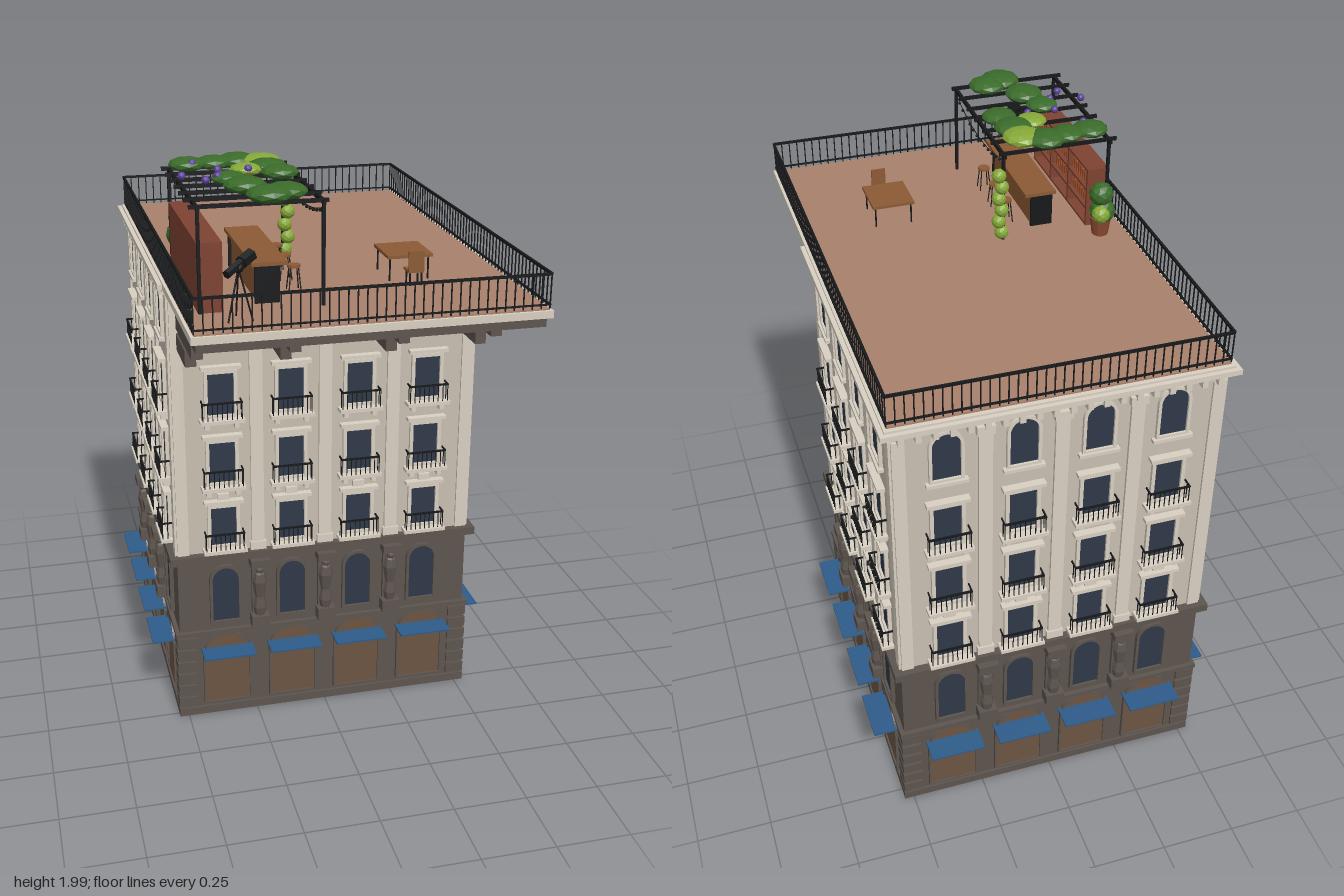
import * as THREE from 'three';
import { mergeGeometries } from 'three/addons/utils/BufferGeometryUtils.js';

const mat = (color) => new THREE.MeshStandardMaterial({ color, flatShading: true, side: THREE.DoubleSide });
const M = {
  wall: mat(0xc8beb0), trim: mat(0xd8cfc0), stone: mat(0x5d544e), door: mat(0x6b5442), glass: mat(0x2f3848),
  iron: mat(0x17181a), awning: mat(0x2e5c8a), floor: mat(0xa8806c), wood: mat(0x8b5a34), brick: mat(0x7d4231),
  leaf: mat(0x3a6b2a), lime: mat(0x86a838), flower: mat(0x5b3f9a), book: mat(0xa8552f), pot: mat(0x8a4a30),
};

// Box given by its limits
function box(x0, x1, y0, y1, z0, z1) {
  return new THREE.BoxGeometry(x1 - x0, y1 - y0, z1 - z0).translate((x0 + x1) / 2, (y0 + y1) / 2, (z0 + z1) / 2);
}
// Thin rod between two points
function rod(a, b, r = 0.003) {
  const A = new THREE.Vector3(...a), B = new THREE.Vector3(...b), d = B.clone().sub(A);
  const g = new THREE.CylinderGeometry(r, r, d.length(), 6);
  g.applyQuaternion(new THREE.Quaternion().setFromUnitVectors(new THREE.Vector3(0, 1, 0), d.normalize()));
  return g.translate(...A.add(B).multiplyScalar(0.5).toArray());
}
function blob(x, y, z, r, sy = 1, detail = 1) {
  return new THREE.IcosahedronGeometry(r, detail).scale(1, sy, 1).translate(x, y, z);
}
// Merge pieces of one part into a named mesh
function add(group, name, material, geos) {
  const m = new THREE.Mesh(mergeGeometries(geos.map((g) => (g.index ? g.toNonIndexed() : g))), material);
  m.name = name;
  group.add(m);
}

// Opening outline: rectangle with an optional arched head of the given rise
function outline(S, x, y0, y1, w, rise) {
  const s = new S();
  s.moveTo(x - w / 2, y0);
  s.lineTo(x + w / 2, y0);
  s.lineTo(x + w / 2, y1 - rise);
  if (rise) s.absellipse(x, y1 - rise, w / 2, rise, 0, Math.PI, false, 0);
  else s.lineTo(x - w / 2, y1);
  s.closePath();
  return s;
}
function panel(x, y0, y1, w, rise, z, depth, border = 0) {
  const s = outline(THREE.Shape, x, y0 - border, y1 + border, w + 2 * border, rise ? rise + border : 0);
  if (border) s.holes.push(outline(THREE.Path, x, y0, y1, w, rise));
  return new THREE.ExtrudeGeometry(s, { depth, bevelEnabled: false, curveSegments: 10 }).translate(0, 0, z);
}

const H = 0.52, CZ = -0.26;
const BAYS = [-0.357, -0.119, 0.119, 0.357];

// One facade facing +z, used on all four sides
function facade() {
  const g = new THREE.Group();
  g.name = 'facade';
  const glass = [], trim = [], doors = [], dark = [], awnings = [], iron = [];
  for (const x of BAYS) {
    // Shop door with awning
    doors.push(panel(x, 0.05, 0.32, 0.16, 0.08, H + 0.005, 0.006));
    dark.push(panel(x, 0.05, 0.32, 0.16, 0.08, H + 0.005, 0.012, 0.006));
    awnings.push(box(x - 0.092, x + 0.092, 0.263, 0.269, H, 0.61));
    // Mezzanine window
    glass.push(panel(x, 0.375, 0.58, 0.092, 0.046, H + 0.002, 0.006));
    dark.push(panel(x, 0.375, 0.58, 0.092, 0.046, H + 0.002, 0.014, 0.01));
    // Three balcony floors
    [[0.67, 0.81], [0.905, 1.05], [1.15, 1.295]].forEach(([a, b], i) => {
      glass.push(panel(x, a, b, 0.088, 0, H, 0.004));
      trim.push(panel(x, a, b, 0.088, 0, H, 0.012, 0.012));
      trim.push(box(x - 0.068, x + 0.068, b + 0.018, b + 0.03, H, H + 0.026));
      trim.push(box(x - 0.075, x + 0.075, a - 0.022, a - 0.01, H, 0.562));
      for (const s of [-1, 1]) trim.push(box(x + s * 0.05 - 0.008, x + s * 0.05 + 0.008, a - 0.045, a - 0.022, H, H + 0.025));
      if (i === 1) trim.push(box(x - 0.02, x + 0.02, 0.84, 0.862, H, H + 0.012));
      const y0 = a - 0.01, y1 = a + 0.05, zr = 0.555;
      iron.push(box(x - 0.068, x + 0.068, y1 - 0.003, y1 + 0.003, zr - 0.003, zr + 0.003));
      for (let k = 0; k <= 8; k++) {
        const px = x - 0.066 + k * 0.0165;
        iron.push(box(px - 0.0013, px + 0.0013, y0, y1, zr - 0.0013, zr + 0.0013));
      }
      for (const s of [-1, 1]) {
        const sx = x + s * 0.066;
        iron.push(box(sx - 0.002, sx + 0.002, y1 - 0.003, y1 + 0.003, H, zr));
        iron.push(box(sx - 0.0013, sx + 0.0013, y0, y1, 0.536, 0.539));
      }
    });
    // Arched attic window
    glass.push(panel(x, 1.405, 1.57, 0.088, 0.044, H, 0.004));
    trim.push(panel(x, 1.405, 1.57, 0.088, 0.044, H, 0.012, 0.01));
    trim.push(box(x - 0.065, x + 0.065, 1.385, 1.397, H, H + 0.02));
  }
  // Pilasters above, carved columns on the mezzanine
  for (const x of [-0.238, 0, 0.238]) {
    trim.push(box(x - 0.022, x + 0.022, 0.64, 1.56, H, H + 0.01));
    trim.push(box(x - 0.028, x + 0.028, 1.545, 1.575, H, H + 0.018));
    trim.push(box(x - 0.028, x + 0.028, 0.64, 0.67, H, H + 0.016));
    dark.push(box(x - 0.032, x + 0.032, 0.345, 0.39, H, 0.565), box(x - 0.026, x + 0.026, 0.39, 0.6, H, 0.535));
    const pts = [[0.018, 0.39], [0.024, 0.42], [0.017, 0.46], [0.026, 0.52], [0.02, 0.55], [0.014, 0.56]];
    dark.push(new THREE.LatheGeometry(pts.map((p) => new THREE.Vector2(...p)), 8).translate(x, 0, 0.54));
    dark.push(blob(x, 0.568, 0.545, 0.016), box(x - 0.034, x + 0.034, 0.583, 0.612, H, 0.57));
  }
  for (const s of [-1, 1]) trim.push(box(s * 0.5 - 0.02, s * 0.5 + 0.02, 0.64, 1.57, H, H + 0.008));
  // Modillions under the cornice
  for (let i = 0; i < 20; i++) {
    const x = -0.494 + i * 0.052;
    trim.push(box(x - 0.009, x + 0.009, 1.568, 1.592, H, 0.545));
  }
  add(g, 'windowPanes', M.glass, glass);
  add(g, 'windowTrim', M.trim, trim);
  add(g, 'shopDoors', M.door, doors);
  add(g, 'mezzanineColumns', M.stone, dark);
  add(g, 'awnings', M.awning, awnings);
  add(g, 'balconyRailings', M.iron, iron);
  return g;
}

const slab = (r, y0, y1) => box(-r, r, y0, y1, CZ - r, CZ + r);

export function createModel() {
  const root = new THREE.Group();
  root.name = 'cornerBuilding';

  // Main body
  const base = [slab(0.525, 0, 0.33), slab(0.537, 0.322, 0.338), slab(0.522, 0.33, 0.63), slab(0.548, 0.612, 0.64), slab(0.533, 0, 0.03)];
  for (const sx of [-1, 1]) for (const sz of [-1, 1]) for (let i = 0; i < 6; i++) {
    const x = sx * 0.5, z = CZ + sz * 0.5, y = 0.037 + i * 0.048;
    base.push(box(x - 0.033, x + 0.033, y, y + 0.038, z - 0.033, z + 0.033));
  }
  add(root, 'stoneBase', M.stone, base);
  add(root, 'upperWalls', M.wall, [slab(H, 0.63, 1.6)]);
  for (let i = 0; i < 4; i++) {
    const f = facade();
    f.position.z = CZ;
    f.rotation.y = i * Math.PI / 2;
    root.add(f);
  }

  // Roof cornice, overhanging terrace and stepped brackets
  add(root, 'roofCornice', M.trim, [slab(0.54, 1.588, 1.602), slab(0.555, 1.6, 1.618)]);
  add(root, 'terraceSlab', M.trim, [box(-0.54, 0.54, 1.602, 1.625, -0.8, 0.86)]);
  add(root, 'terraceFloor', M.floor, [box(-0.53, 0.53, 1.62, 1.63, -0.785, 0.85)]);
  const brackets = [box(-0.525, 0.525, 1.572, 1.602, 0.26, 0.845)];
  for (const x of [-0.48, -0.175, 0.172, 0.475])
    [[1.525, 1.572, 0.71], [1.46, 1.515, 0.58], [1.39, 1.445, 0.445]].forEach(([a, b, z]) =>
      brackets.push(box(x - 0.018, x + 0.018, a, b, 0.25, z), box(x - 0.013, x + 0.013, a, b + 0.02, 0.25, z - 0.04)));
  add(root, 'terraceBrackets', M.stone, brackets);

  // Terrace railing
  const rail = [], X = 0.53, Z0 = -0.782, Z1 = 0.85, t = 0.0018;
  for (const [y, h] of [[1.735, 0.004], [1.642, 0.002]]) {
    for (const z of [Z0, Z1]) rail.push(box(-X, X, y - h, y + h, z - 0.004, z + 0.004));
    for (const x of [-X, X]) rail.push(box(x - 0.004, x + 0.004, y - h, y + h, Z0, Z1));
  }
  for (let i = 0; i <= 38; i++) for (const z of [Z0, Z1]) {
    const x = -X + i * 2 * X / 38;
    rail.push(box(x - t, x + t, 1.63, 1.735, z - t, z + t));
  }
  for (let i = 1; i < 58; i++) for (const x of [-X, X]) {
    const z = Z0 + i * (Z1 - Z0) / 58;
    rail.push(box(x - t, x + t, 1.63, 1.735, z - t, z + t));
  }
  add(root, 'terraceRailing', M.iron, rail);

  // Pergola with string lights
  const frame = [];
  for (const x of [-0.48, -0.11]) {
    for (const z of [0.118, 0.662]) frame.push(box(x - 0.005, x + 0.005, 1.63, 1.945, z - 0.005, z + 0.005));
    frame.push(box(x - 0.005, x + 0.005, 1.935, 1.948, 0.1, 0.675));
  }
  for (let i = 0; i < 7; i++) {
    const z = 0.118 + i * 0.0907;
    frame.push(box(-0.505, -0.095, 1.94, 1.952, z - 0.004, z + 0.004));
  }
  add(root, 'pergola', M.iron, frame);
  const sag = new THREE.QuadraticBezierCurve3(new THREE.Vector3(-0.11, 1.925, 0.118), new THREE.Vector3(-0.11, 1.84, 0.39), new THREE.Vector3(-0.11, 1.925, 0.662));
  add(root, 'stringLights', M.iron, [new THREE.TubeGeometry(sag, 20, 0.0015, 4),
    ...sag.getPoints(13).slice(1, -1).map((p) => blob(p.x, p.y - 0.005, p.z, 0.006, 1, 0))]);

  // Climbing plants: canopy, flowers and vine on the post
  const canopy = (list) => list.map(([x, z, r]) => blob(x, 1.968, z, r, 0.38).rotateY(0));
  add(root, 'canopyLeaves', M.leaf, canopy([[-0.43, 0.17, 0.06], [-0.345, 0.16, 0.058], [-0.265, 0.145, 0.066], [-0.19, 0.26, 0.066],
    [-0.17, 0.35, 0.06], [-0.34, 0.4, 0.055], [-0.31, 0.505, 0.066], [-0.265, 0.64, 0.07], [-0.21, 0.61, 0.066]]));
  add(root, 'canopyLightLeaves', M.lime, canopy([[-0.195, 0.18, 0.068], [-0.265, 0.29, 0.052]]));
  add(root, 'flowers', M.flower, [[-0.42, 0.21], [-0.36, 0.325], [-0.265, 0.33], [-0.48, 0.39], [-0.375, 0.415], [-0.42, 0.465]]
    .map(([x, z]) => blob(x, 1.978, z, 0.013)));
  add(root, 'postVine', M.lime, [0, 1, 2, 3, 4, 5].map((i) => blob(-0.1 + (i % 2 ? 0.006 : -0.004), 1.66 + i * 0.042, 0.116, 0.025)));

  // Potted bush
  add(root, 'planter', M.pot, [new THREE.CylinderGeometry(0.036, 0.028, 0.06, 10).translate(-0.44, 1.66, 0.06)]);
  add(root, 'bush', M.leaf, [blob(-0.44, 1.775, 0.065, 0.042), blob(-0.445, 1.715, 0.06, 0.045)]);
  add(root, 'bushLightLeaves', M.lime, [blob(-0.43, 1.715, 0.035, 0.032), blob(-0.44, 1.7, 0.085, 0.032)]);

  // Back shelf with bottles
  const shelf = [box(-0.485, -0.46, 1.63, 1.84, 0.12, 0.66)], bottles = [];
  for (const y of [1.63, 1.69, 1.76, 1.832]) shelf.push(box(-0.47, -0.41, y, y + 0.008, 0.12, 0.66));
  for (const z of [0.12, 0.3, 0.475, 0.65]) shelf.push(box(-0.47, -0.41, 1.63, 1.84, z, z + 0.01));
  for (let i = 0; i < 26; i++) for (const y of [1.698, 1.768])
    bottles.push(box(-0.458, -0.425, y, y + 0.035 + 0.012 * ((i * 7) % 3) / 2, 0.137 + i * 0.0196, 0.15 + i * 0.0196));
  add(root, 'backShelf', M.brick, shelf);
  add(root, 'shelfItems', M.book, bottles);

  // Bar counter
  add(root, 'barCounter', M.wood, [box(-0.315, -0.205, 1.745, 1.757, 0.165, 0.61), box(-0.295, -0.235, 1.63, 1.745, 0.18, 0.595)]);
  add(root, 'barEndPanels', M.iron, [box(-0.305, -0.228, 1.63, 1.745, 0.595, 0.603), box(-0.305, -0.228, 1.63, 1.745, 0.172, 0.18)]);

  // Stools, table and chair
  const seats = [], legs = [];
  for (const z of [0.24, 0.365, 0.49]) {
    seats.push(new THREE.CylinderGeometry(0.021, 0.021, 0.008, 12).translate(-0.16, 1.708, z));
    for (const a of [-1, 1]) for (const b of [-1, 1]) legs.push(rod([-0.16 + a * 0.012, 1.705, z + b * 0.012], [-0.16 + a * 0.019, 1.63, z + b * 0.019], 0.002));
  }
  const legsAt = (xs, zs, y) => xs.forEach((x) => zs.forEach((z) => legs.push(rod([x, 1.63, z], [x, y, z]))));
  legsAt([0.155, 0.28], [0.328, 0.462], 1.705);
  legsAt([0.2, 0.237], [0.492, 0.53], 1.675);
  add(root, 'stoolSeats', M.wood, seats);
  add(root, 'tableTop', M.wood, [box(0.145, 0.291, 1.703, 1.713, 0.315, 0.475)]);
  add(root, 'chair', M.wood, [box(0.193, 0.243, 1.672, 1.68, 0.485, 0.537), box(0.193, 0.243, 1.68, 1.74, 0.531, 0.537)]);
  add(root, 'furnitureLegs', M.iron, legs);

  // Telescope on a tripod
  const c = [-0.38, 1.785, 0.745], scope = [];
  for (let i = 0; i < 3; i++) {
    const a = i * 2.094 + 0.5;
    scope.push(rod(c, [c[0] + 0.042 * Math.cos(a), 1.63, c[2] + 0.042 * Math.sin(a)], 0.0028));
  }
  scope.push(rod([-0.42, 1.775, 0.775], [-0.365, 1.8, 0.732], 0.014), rod([-0.37, 1.797, 0.738], [-0.335, 1.812, 0.71], 0.021), blob(...c, 0.016));
  add(root, 'telescope', M.iron, scope);
  return root;
}
